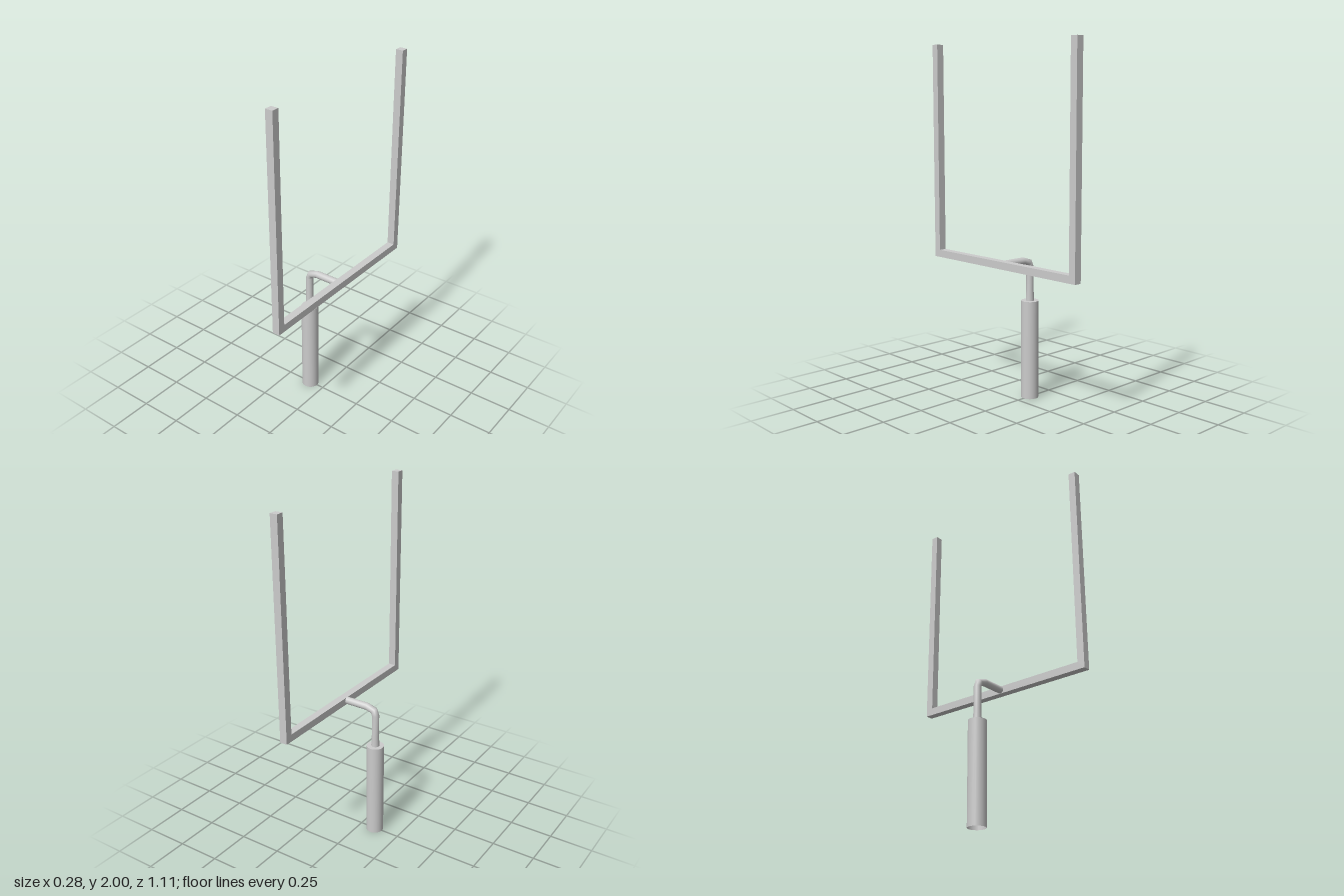
import * as THREE from 'three';

const grey = new THREE.MeshStandardMaterial({ color: 0xcccccc });
const greyDouble = new THREE.MeshStandardMaterial({ color: 0xcccccc, side: THREE.DoubleSide });
const POST_X = -0.093;

// Round pipe lofted through stations [x, y, direction in degrees, radius] in the xy plane
function pipeGeometry(stations, sides = 16) {
  const positions = [], indices = [];
  stations.forEach(([x, y, degrees, r], i) => {
    const t = THREE.MathUtils.degToRad(degrees);
    for (let j = 0; j < sides; j++) {
      const a = (j / sides) * Math.PI * 2;
      const side = r * Math.cos(a);
      positions.push(x + side * Math.sin(t), y - side * Math.cos(t), -r * Math.sin(a));
      if (i === stations.length - 1) continue;
      const k = (j + 1) % sides;
      const p = i * sides + j, q = i * sides + k;
      indices.push(p, q, q + sides, p, q + sides, p + sides);
    }
  });
  const geometry = new THREE.BufferGeometry();
  geometry.setAttribute('position', new THREE.Float32BufferAttribute(positions, 3));
  geometry.setIndex(indices);
  geometry.computeVertexNormals();
  return geometry;
}

export function createModel() {
  const model = new THREE.Group();
  model.name = 'goalPost';
  const add = (name, geometry, material = grey) => {
    const mesh = new THREE.Mesh(geometry, material);
    mesh.name = name;
    model.add(mesh);
    return mesh;
  };

  // Padded sleeve: open at the bottom, flat lid at the top
  const padHeight = 0.567, padRadius = 0.05;
  add('basePad', new THREE.CylinderGeometry(padRadius, padRadius, padHeight, 24, 1, true), greyDouble)
    .position.set(POST_X, padHeight / 2, 0);
  const lid = add('basePadTop', new THREE.CircleGeometry(padRadius, 24), greyDouble);
  lid.rotation.x = -Math.PI / 2;
  lid.position.set(POST_X, padHeight, 0);

  // Gooseneck: tapered foot, bend, then level arm into the crossbar
  add('gooseneck', pipeGeometry([
    [POST_X, 0.56, 90, 0.024],
    [POST_X, 0.63, 90, 0.021],
    [POST_X, 0.76, 90, 0.021],
    [-0.081, 0.787, 48, 0.022],
    [-0.038, 0.8, 0, 0.021],
    [0.1, 0.8, 0, 0.021],
  ]));

  // Crossbar and both uprights as one square-section U
  const outer = 0.557, inner = 0.515, bottom = 0.778, barTop = 0.82, top = 2;
  const outline = [
    [-outer, bottom], [outer, bottom], [outer, top], [inner, top],
    [inner, barTop], [-inner, barTop], [-inner, top], [-outer, top],
  ].map(([x, y]) => new THREE.Vector2(x, y));
  const frame = add('crossbarAndUprights', new THREE.ExtrudeGeometry(new THREE.Shape(outline), {
    depth: 0.043, bevelEnabled: false,
  }));
  frame.rotation.y = Math.PI / 2;
  frame.position.x = 0.098;

  return model;
}
